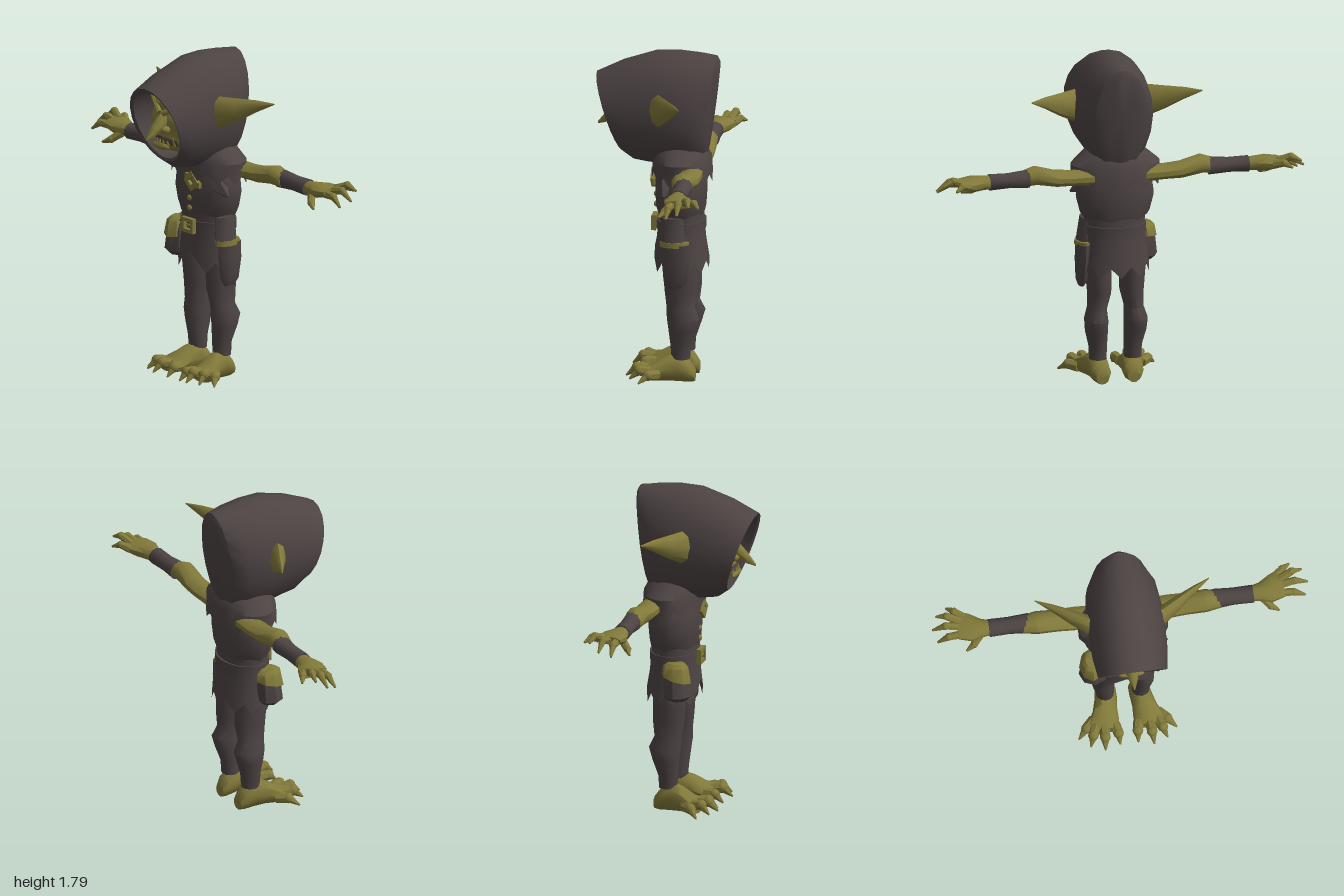
import * as THREE from 'three';
import { toCreasedNormals } from 'three/addons/utils/BufferGeometryUtils.js';

const cloth = new THREE.MeshStandardMaterial({ color: 0x4d4343, side: THREE.DoubleSide });
cloth.name = 'dark cloth';
const skin = new THREE.MeshStandardMaterial({ color: 0x81793a });
skin.name = 'olive skin and trim';

const V = (x, y, z) => new THREE.Vector3(x, y, z);

// Joins rings of points (same count, ordered along their axis) into a surface.
function loft(rings, caps = true) {
  const n = rings[0].length, pos = [], idx = [];
  rings.forEach(r => r.forEach(p => pos.push(p.x, p.y, p.z)));
  for (let i = 0; i < rings.length - 1; i++) for (let j = 0; j < n; j++) {
    const k = (j + 1) % n, a = i * n + j, b = i * n + k;
    idx.push(a, b, b + n, a, b + n, a + n);
  }
  if (caps) [0, rings.length - 1].forEach((i, end) => {
    const c = rings[i].reduce((s, p) => s.add(p), V(0, 0, 0)).divideScalar(n);
    const ci = pos.length / 3;
    pos.push(c.x, c.y, c.z);
    for (let j = 0; j < n; j++) {
      const a = i * n + j, b = i * n + (j + 1) % n;
      end ? idx.push(ci, a, b) : idx.push(ci, b, a);
    }
  });
  const g = new THREE.BufferGeometry();
  g.setAttribute('position', new THREE.Float32BufferAttribute(pos, 3));
  g.setIndex(idx);
  return g;
}

const circle = (n, f) => Array.from({ length: n }, (_, j) =>
  f(Math.cos(j / n * Math.PI * 2), Math.sin(j / n * Math.PI * 2), j));

// Rows: [x, cy, cz, ry, rz], [y, cx, cz, rx, rz] and [z, cx, cy, rx, ry].
const alongX = (rows, n = 10) => loft(rows.map(([x, cy, cz, ry, rz]) =>
  circle(n, (c, s) => V(x, cy + ry * c, cz + rz * s))));
const alongY = (rows, n = 12, caps = true, hem = () => 0) => loft(rows.map(([y, cx, cz, rx, rz], i) =>
  circle(n, (c, s, j) => V(cx + rx * s, y + (i ? 0 : hem(j, c)), cz + rz * c))), caps);
const alongZ = (rows, n = 10) => loft(rows.map(([z, cx, cy, rx, ry]) =>
  circle(n, (c, s) => V(cx + rx * c, cy + ry * s, z))));

// Tapered rod between two points.
function rod(a, b, ra, rb, sides = 7) {
  const p = V(...a), d = V(...b).sub(p);
  const g = new THREE.CylinderGeometry(rb, ra, d.length(), sides);
  g.translate(0, d.length() / 2, 0);
  g.applyQuaternion(new THREE.Quaternion().setFromUnitVectors(V(0, 1, 0), d.normalize()));
  return g.translate(p.x, p.y, p.z);
}
const ball = (x, y, z, rx, ry, rz) =>
  new THREE.SphereGeometry(1, 10, 8).scale(rx, ry, rz).translate(x, y, z);

function plate(points, hole, depth, x, y, z) {
  const s = new THREE.Shape(points.map(p => new THREE.Vector2(...p)));
  if (hole) s.holes.push(new THREE.Path(hole.map(p => new THREE.Vector2(...p))));
  return new THREE.ExtrudeGeometry(s, { depth, bevelEnabled: false }).translate(x, y, z);
}
const box = (w, h) => [[-w, -h], [w, -h], [w, h], [-w, h]];

function part(group, name, geo, mat, flip = false) {
  const g = geo.index ? geo.toNonIndexed() : geo.clone();
  g.deleteAttribute('uv');
  if (flip) {
    g.scale(-1, 1, 1);
    const a = g.attributes.position.array;
    for (let i = 0; i < a.length; i += 9) for (let k = 3; k < 6; k++)
      [a[i + k], a[i + k + 3]] = [a[i + k + 3], a[i + k]];
  }
  const m = new THREE.Mesh(toCreasedNormals(g, 0.75), mat);
  m.name = name;
  group.add(m);
}
function pair(group, name, geo, mat) {
  part(group, 'left' + name, geo, mat);
  part(group, 'right' + name, geo, mat, true);
}

// Face relief: brow, eye sockets, cheeks and muzzle.
const bump = (x, y, cx, cy, sx, sy) => Math.exp(-(((x - cx) / sx) ** 2) - ((y - cy) / sy) ** 2);
function relief(x, y) {
  const ax = Math.abs(x);
  return 0.025 * bump(ax, y, 0.06, 1.56, 0.08, 0.025) - 0.025 * bump(ax, y, 0.07, 1.51, 0.04, 0.022)
    + 0.015 * bump(ax, y, 0.11, 1.45, 0.04, 0.03) + 0.045 * bump(x, y, 0, 1.33, 0.1, 0.05);
}
const faceZ = (x, y) =>
  0.07 + 0.14 * Math.sqrt(Math.max(0, 1 - (x / 0.17) ** 2 - ((y - 1.46) / 0.19) ** 2)) + relief(x, y);

function addHead(root) {
  const g = new THREE.Group();
  g.name = 'head';
  root.add(g);
  const head = new THREE.SphereGeometry(1, 32, 24).scale(0.17, 0.19, 0.14).translate(0, 1.46, 0.07);
  const p = head.attributes.position;
  for (let i = 0; i < p.count; i++)
    if (p.getZ(i) > 0.08) p.setZ(i, p.getZ(i) + relief(p.getX(i), p.getY(i)));
  part(g, 'face', head, skin);

  // Long hooked nose
  part(g, 'nose', alongZ([[0.19, 0, 1.47, 0.03, 0.06], [0.235, 0, 1.45, 0.034, 0.045],
    [0.28, 0, 1.415, 0.026, 0.032], [0.33, 0, 1.378, 0.004, 0.006]], 8), skin);
  pair(g, 'Nostril', ball(0.034, 1.42, 0.22, 0.024, 0.02, 0.028), skin);
  pair(g, 'Brow', rod([0.012, 1.505, 0.222], [0.13, 1.572, 0.165], 0.016, 0.013), skin);
  pair(g, 'EyeSocket', ball(0.072, 1.512, faceZ(0.072, 1.512) - 0.004, 0.034, 0.015, 0.01), cloth);
  pair(g, 'Eye', ball(0.072, 1.51, faceZ(0.072, 1.51), 0.026, 0.01, 0.01), skin);

  // Frowning mouth with teeth and tusks
  const mouth = new THREE.PlaneGeometry(0.17, 0.034, 12, 2), q = mouth.attributes.position;
  for (let i = 0; i < q.count; i++) {
    const x = q.getX(i), y = 1.362 + q.getY(i) - 2.5 * x * x;
    q.setXYZ(i, x, y, faceZ(x, y) + 0.006);
  }
  part(g, 'mouth', mouth, cloth);
  for (const x of [-0.07, -0.045, -0.022, 0, 0.022, 0.045, 0.07]) {
    const y = 1.343 - 2.5 * x * x, tall = Math.abs(x) > 0.06 ? 0.055 : 0.024;
    part(g, 'tooth', rod([x, y, faceZ(x, y) + 0.006], [x, y + tall, faceZ(x, y + tall) + 0.012], 0.01, 0.002, 5), skin);
  }
  part(g, 'lowerLip', ball(0, 1.325, 0.222, 0.07, 0.018, 0.016), skin);

  pair(g, 'Ear', alongX([[0.16, 1.5, -0.01, 0.085, 0.045], [0.2, 1.505, -0.02, 0.088, 0.05],
    [0.29, 1.53, -0.07, 0.062, 0.038], [0.38, 1.56, -0.12, 0.032, 0.02], [0.465, 1.58, -0.165, 0.003, 0.003]], 8), skin);

  // Hood from back to rim and into the opening: [top z, top y, bottom z, bottom y, half width]
  const rows = [[-0.322, 1.74, -0.258, 1.24, 0.08], [-0.305, 1.768, -0.23, 1.19, 0.145],
    [-0.22, 1.78, -0.16, 1.17, 0.19], [-0.1, 1.79, -0.05, 1.17, 0.205], [0.02, 1.785, 0.05, 1.175, 0.205],
    [0.19, 1.73, 0.13, 1.19, 0.2], [0.335, 1.66, 0.19, 1.235, 0.185], [0.322, 1.642, 0.185, 1.25, 0.168],
    [0.06, 1.655, 0.06, 1.26, 0.172]];
  part(g, 'hood', loft(rows.map(([tz, ty, bz, by, w]) => circle(20, (c, s) =>
    V(w * c, (ty + by) / 2 + s * (ty - by) / 2, (tz + bz) / 2 + s * (tz - bz) / 2)))), cloth);
}

function addBody(root) {
  const g = new THREE.Group();
  g.name = 'clothedBody';
  root.add(g);
  // Ragged shoulder cape, jacket and skirt
  part(g, 'cape', alongY([[1.14, 0, -0.12, 0.24, 0.16], [1.21, 0, -0.12, 0.24, 0.155],
    [1.26, 0, -0.11, 0.18, 0.14], [1.31, 0, -0.1, 0.12, 0.11]], 22, false,
    (j, c) => (j % 2 ? -0.035 : 0.015) - 0.025 * (1 - c) / 2), cloth);
  part(g, 'jacket', alongY([[0.92, 0, -0.115, 0.175, 0.125], [0.945, 0, -0.115, 0.19, 0.132],
    [1.03, 0, -0.115, 0.212, 0.137], [1.12, 0, -0.115, 0.2, 0.135], [1.22, 0, -0.115, 0.15, 0.11]], 20, true,
    j => j % 3 ? 0 : -0.015), cloth);
  part(g, 'jacketFlap', rod([0.15, 1.08, -0.06], [0.228, 1.04, -0.05], 0.055, 0.005, 5), cloth);
  part(g, 'skirt', alongY([[0.645, 0, -0.118, 0.185, 0.145], [0.76, 0, -0.115, 0.168, 0.132],
    [0.86, 0, -0.115, 0.16, 0.122], [0.94, 0, -0.115, 0.165, 0.12]], 20, false,
    j => (j === 0 ? 0.07 : j % 2 ? 0.015 : -0.045)), cloth);
  part(g, 'belt', alongY([[0.825, 0, -0.115, 0.168, 0.132], [0.875, 0, -0.115, 0.168, 0.132]], 20), cloth);

  // Buckle, buttons and collar clasp
  part(g, 'buckle', plate(box(0.045, 0.04), box(0.026, 0.021), 0.025, 0, 0.85, 0.015), skin);
  part(g, 'bucklePin', plate(box(0.018, 0.006), null, 0.012, 0.012, 0.85, 0.022), skin);
  const diamond = r => [[0, -r], [r, 0], [0, r], [-r, 0]];
  part(g, 'clasp', plate(diamond(0.055), diamond(0.022), 0.022, 0.03, 1.1, 0.018), skin);
  for (const [x, y] of [[-0.008, 1.12], [0.072, 1.085]])
    part(g, 'claspTip', plate(box(0.016, 0.016), null, 0.018, x, y, 0.015), skin);
  for (const y of [1.0, 0.945]) part(g, 'button', ball(0, y, 0.02, 0.016, 0.016, 0.012), skin);

  // Belt pouch with a trimmed flap on the right hip
  const pouch = new THREE.Group();
  pouch.name = 'pouch';
  g.add(pouch);
  part(pouch, 'pouchBag', alongY([[0.645, -0.165, -0.055, 0.05, 0.05], [0.67, -0.165, -0.055, 0.08, 0.075],
    [0.77, -0.165, -0.06, 0.068, 0.07], [0.84, -0.165, -0.065, 0.05, 0.055]], 8), cloth);
  part(pouch, 'pouchFlap', alongY([[0.765, -0.175, -0.055, 0.068, 0.08], [0.83, -0.172, -0.06, 0.058, 0.07],
    [0.85, -0.17, -0.06, 0.04, 0.045]], 8, true, (j, c) => -0.02 * c), skin);

  // Sheath on the left hip
  const sheath = new THREE.Group();
  sheath.name = 'sheath';
  g.add(sheath);
  part(sheath, 'sheathBody', alongY([[0.535, 0.18, -0.1, 0.015, 0.035], [0.57, 0.178, -0.105, 0.03, 0.06],
    [0.68, 0.175, -0.11, 0.038, 0.075], [0.77, 0.172, -0.11, 0.038, 0.075]], 10), cloth);
  part(sheath, 'sheathTrim', alongY([[0.758, 0.168, -0.1, 0.046, 0.078], [0.785, 0.166, -0.1, 0.046, 0.078]], 10), skin);
  part(sheath, 'sheathTop', alongY([[0.77, 0.165, -0.09, 0.042, 0.068], [0.91, 0.15, -0.09, 0.035, 0.06]], 8), cloth);
}

function addArms(root) {
  const g = new THREE.Group();
  g.name = 'arms';
  root.add(g);
  pair(g, 'Arm', alongX([[0.14, 1.155, -0.19, 0.045, 0.06], [0.25, 1.158, -0.19, 0.04, 0.065],
    [0.34, 1.162, -0.19, 0.046, 0.06], [0.45, 1.185, -0.185, 0.052, 0.062], [0.53, 1.17, -0.19, 0.042, 0.048]]), skin);
  pair(g, 'Bracer', alongX([[0.49, 1.172, -0.193, 0.05, 0.054], [0.6, 1.17, -0.195, 0.041, 0.046],
    [0.705, 1.168, -0.195, 0.045, 0.048]]), cloth);
  pair(g, 'Palm', alongX([[0.67, 1.168, -0.195, 0.036, 0.036], [0.74, 1.17, -0.2, 0.038, 0.05],
    [0.8, 1.172, -0.21, 0.04, 0.078], [0.87, 1.18, -0.23, 0.022, 0.082]]), skin);
  // Fingers: base, knuckle and tip
  const fingers = [[[0.83, 1.175, -0.275], [0.875, 1.19, -0.305], [0.915, 1.17, -0.335]],
    [[0.85, 1.185, -0.25], [0.92, 1.215, -0.275], [0.975, 1.19, -0.288]],
    [[0.85, 1.18, -0.22], [0.93, 1.195, -0.228], [1.0, 1.15, -0.23]],
    [[0.84, 1.17, -0.18], [0.92, 1.17, -0.175], [0.98, 1.125, -0.168]],
    [[0.75, 1.15, -0.175], [0.79, 1.115, -0.135], [0.835, 1.095, -0.11]]];
  for (const [a, b, c] of fingers) {
    pair(g, 'Finger', rod(a, b, 0.023, 0.02), skin);
    pair(g, 'Knuckle', ball(...b, 0.021, 0.02, 0.021), skin);
    pair(g, 'FingerTip', rod(b, c, 0.02, 0.006), skin);
  }
}

function addLegs(root) {
  const g = new THREE.Group();
  g.name = 'legs';
  root.add(g);
  pair(g, 'Trouser', alongY([[0.13, 0.095, -0.125, 0.048, 0.05], [0.2, 0.095, -0.125, 0.05, 0.055],
    [0.29, 0.105, -0.135, 0.062, 0.075], [0.35, 0.107, -0.14, 0.064, 0.088], [0.41, 0.1, -0.125, 0.052, 0.075],
    [0.5, 0.088, -0.125, 0.064, 0.088], [0.62, 0.092, -0.12, 0.072, 0.09], [0.76, 0.085, -0.12, 0.075, 0.095]]), cloth);
  pair(g, 'Foot', alongZ([[-0.2, 0.085, 0.04, 0.035, 0.035], [-0.17, 0.088, 0.06, 0.055, 0.058],
    [-0.11, 0.093, 0.083, 0.06, 0.078], [-0.05, 0.105, 0.078, 0.065, 0.068],
    [0.01, 0.12, 0.062, 0.082, 0.048], [0.06, 0.13, 0.055, 0.088, 0.035]]), skin);
  // Arched toes ending in claws
  const toes = [[[0.065, 0.06, 0.03], [0.052, 0.065, 0.085], [0.048, 0.022, 0.135]],
    [[0.12, 0.065, 0.03], [0.125, 0.08, 0.105], [0.13, 0.035, 0.162]],
    [[0.16, 0.065, 0.02], [0.185, 0.078, 0.085], [0.205, 0.035, 0.135]],
    [[0.17, 0.055, -0.01], [0.215, 0.06, 0.035], [0.262, 0.025, 0.08]]];
  for (const [a, b, c] of toes) {
    pair(g, 'Toe', rod(a, b, 0.03, 0.028), skin);
    pair(g, 'ToeKnuckle', ball(...b, 0.029, 0.028, 0.029), skin);
    pair(g, 'Claw', rod(b, c, 0.026, 0.004), skin);
  }
}

export function createModel() {
  const root = new THREE.Group();
  root.name = 'hoodedGoblin';
  addHead(root);
  addBody(root);
  addArms(root);
  addLegs(root);
  return root;
}
